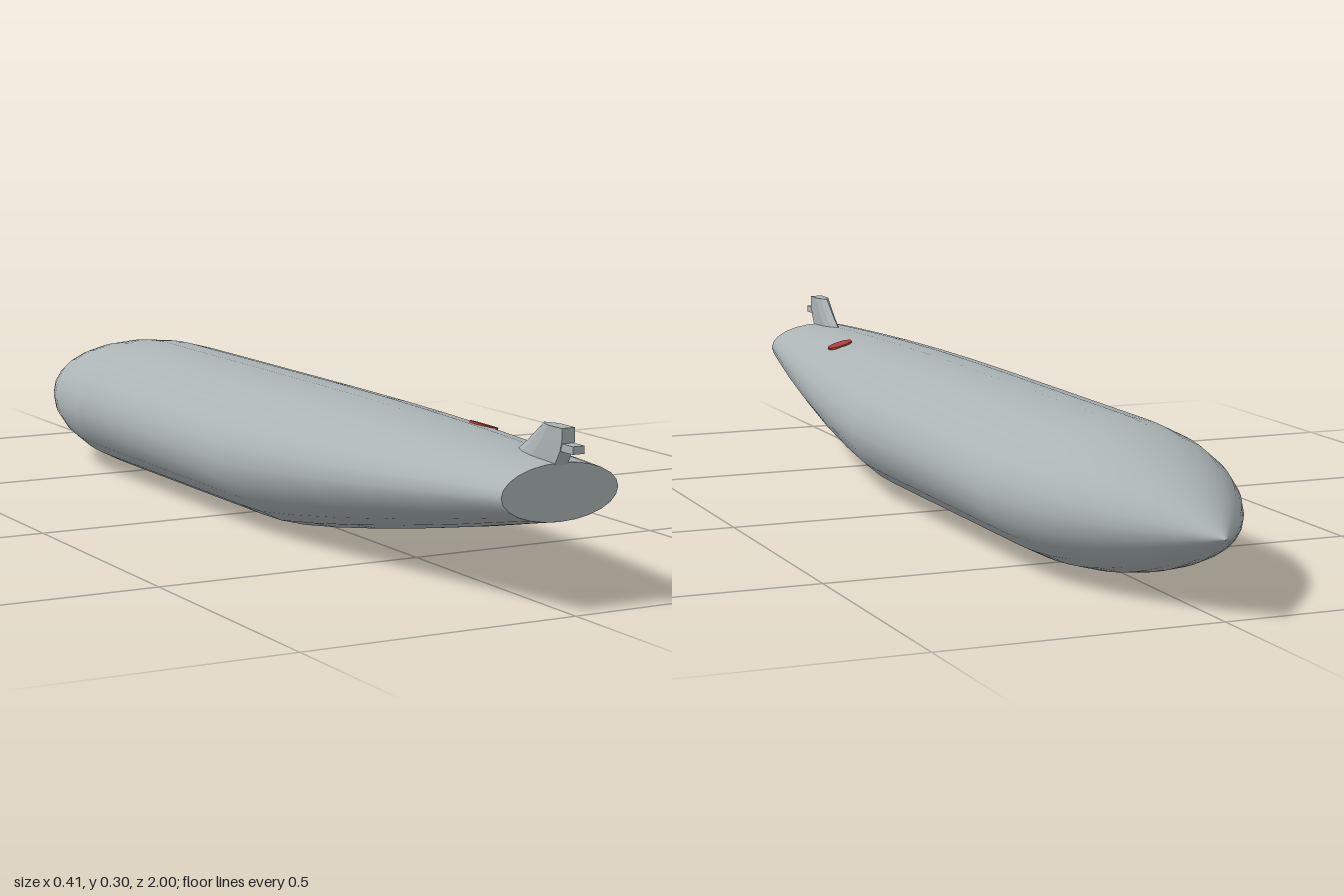
import * as THREE from 'three';
import { mergeVertices } from 'three/addons/utils/BufferGeometryUtils.js';

// Skin a list of closed rings of [x, y, z] points
function loft(rings) {
  const n = rings[0].length, index = [];
  for (let i = 0; i < rings.length - 1; i++) {
    for (let j = 0; j < n; j++) {
      const k = (j + 1) % n, a = i * n, b = a + n;
      index.push(a + j, a + k, b + k, a + j, b + k, b + j);
    }
  }
  const g = new THREE.BufferGeometry();
  g.setAttribute('position', new THREE.Float32BufferAttribute(rings.flat(2), 3));
  g.setIndex(index);
  g.computeVertexNormals();
  return g;
}

// Fan that closes a ring
function cap(ring) {
  const index = [];
  for (let j = 1; j < ring.length - 1; j++) index.push(0, j, j + 1);
  const g = new THREE.BufferGeometry();
  g.setAttribute('position', new THREE.Float32BufferAttribute(ring.flat(), 3));
  g.setIndex(index);
  g.computeVertexNormals();
  return g;
}

function flat(g) {
  const f = g.toNonIndexed();
  f.computeVertexNormals();
  return f;
}

export function createModel() {
  const group = new THREE.Group();
  const grey = new THREE.MeshStandardMaterial({ color: 0xabb3b4 });
  grey.name = 'hull grey';
  const red = new THREE.MeshStandardMaterial({ color: 0xb03a3a });
  red.name = 'marker red';

  const add = (name, geometry, material, parent = group) => {
    const m = new THREE.Mesh(geometry, material);
    m.name = name;
    parent.add(m);
    return m;
  };

  // Elliptical hull section: depth z, half width, bottom and top heights
  const SIDES = 24;
  const section = ([z, w, bottom, top]) => Array.from({ length: SIDES }, (_, j) => {
    const a = (j / SIDES) * Math.PI * 2;
    return [w * Math.cos(a), (top + bottom) / 2 + ((top - bottom) / 2) * Math.sin(a), z];
  });

  const W = 0.2025, LOW = 0.0025, HIGH = 0.2625, TIP = 0.135;
  const stations = [];
  // Pointed, curved nose
  for (let i = 0; i <= 14; i++) {
    const t = 1 - i / 14;
    const s = Math.max(1 - Math.pow(t, 2.2), 0.0005);
    stations.push([-0.5 - 0.5 * t, W * s, TIP + (LOW - TIP) * s, TIP + (HIGH - TIP) * s]);
  }
  // Straight middle and upswept tail
  stations.push(
    [-0.15, W, LOW, HIGH],
    [0.1, W, LOW, HIGH],
    [0.18, 0.201, 0.004, 0.2622],
    [0.3, 0.195, 0.021, 0.2615],
    [0.45, 0.183, 0.046, 0.2595],
    [0.6, 0.166, 0.074, 0.2565],
    [0.75, 0.145, 0.104, 0.252],
    [0.87, 0.126, 0.13, 0.2475],
    [0.95, 0.112, 0.147, 0.244],
  );
  const hullRings = stations.map(section);
  add('hull', mergeVertices(loft(hullRings), 1e-6), grey);
  add('tailFace', cap(hullRings[hullRings.length - 1]), grey);

  // Fin with a pointed leading edge, stacked upward: height, front z, back z
  const outline = [[1, 0.0125], [0.45, 0.0135], [0.2, 0.009], [0, 0], [0.2, -0.009], [0.45, -0.0135], [1, -0.0125]];
  const finRings = [
    [0.236, 0.805, 0.948],
    [0.265, 0.85, 0.965],
    [0.28, 0.87, 0.97],
    [0.303, 0.9, 0.97],
  ].map(([y, front, back]) => outline.map(([t, x]) => [x, y, front + (back - front) * t]));
  const fin = new THREE.Group();
  fin.name = 'fin';
  group.add(fin);
  add('finSides', flat(loft(finRings)), grey, fin);
  add('finTop', cap(finRings[finRings.length - 1]), grey, fin);

  // Small block projecting behind the fin
  add('finBlock', new THREE.BoxGeometry(0.022, 0.013, 0.05), grey, fin).position.set(0, 0.2715, 0.975);

  // Round marker lying on the hull
  const marker = add('marker', new THREE.CylinderGeometry(0.026, 0.026, 0.004, 16), red);
  marker.position.set(0.08, 0.2455, 0.59);
  marker.rotation.set(0.035, 0, -0.294);

  return group;
}
